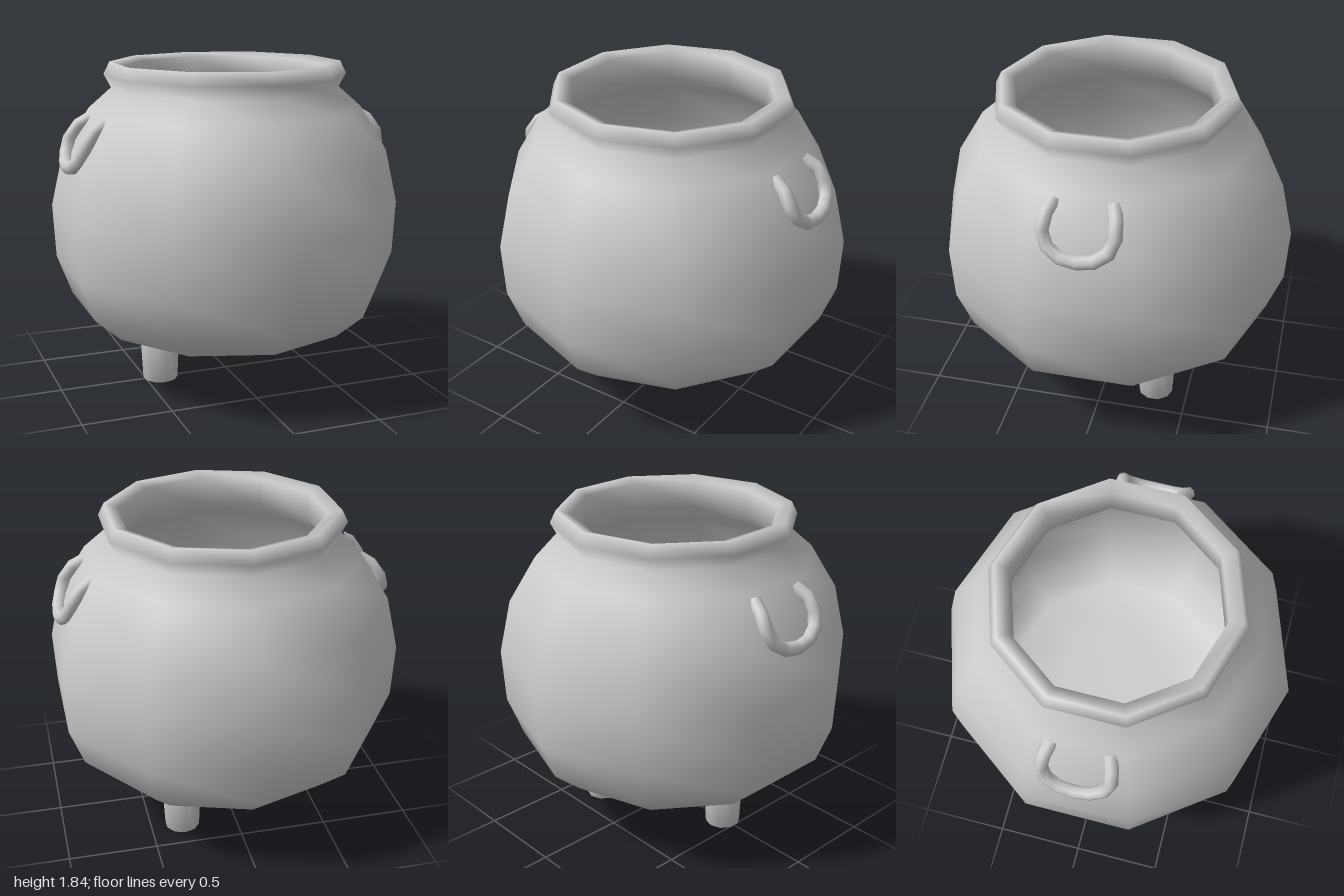
import * as THREE from 'three';

const material = new THREE.MeshStandardMaterial({ color: 0xcccccc });
const SIDES = 10;

const lathe = (points, sides) =>
  new THREE.LatheGeometry(points.map(([r, y]) => new THREE.Vector2(r, y)), sides);

function addMesh(parent, name, geometry) {
  const mesh = new THREE.Mesh(geometry, material);
  mesh.name = name;
  parent.add(mesh);
  return mesh;
}

// U-shaped carrying loop whose ends bend into the +x wall
function handleGeometry() {
  const half = [
    [0.74, 1.535, 0.155], [0.84, 1.465, 0.185], [0.875, 1.38, 0.18], [0.905, 1.312, 0.115],
  ];
  const path = [
    ...half,
    [0.918, 1.288, 0],
    ...half.slice().reverse().map(([x, y, z]) => [x, y, -z]),
  ].map((p) => new THREE.Vector3(...p));
  return new THREE.TubeGeometry(new THREE.CatmullRomCurve3(path), 10, 0.038, 8);
}

export function createModel() {
  const group = new THREE.Group();
  group.name = 'cauldron';

  // Pot: up the outside, over the rolled rim and down the inside
  addMesh(group, 'pot', lathe([
    [0, 0.275], [0.37, 0.275], [0.74, 0.343], [0.9, 0.485], [0.985, 0.71],
    [1, 1.015], [0.93, 1.32], [0.775, 1.575], [0.645, 1.69],
    [0.685, 1.765], [0.65, 1.835], [0.575, 1.81],
    [0.57, 1.66], [0.71, 1.54], [0.86, 1.29], [0.93, 1.01],
    [0.91, 0.73], [0.83, 0.53], [0.69, 0.41], [0.36, 0.38], [0, 0.38],
  ], SIDES));

  // Two tapered feet
  const legGeometry = lathe([[0, 0], [0.1, 0], [0.117, 0.34], [0, 0.34]], SIDES);
  [['rightLeg', -0.41, 0], ['backLeftLeg', 0.315, -0.31]].forEach(([name, x, z]) => {
    addMesh(group, name, legGeometry).position.set(x, 0, z);
  });

  // A handle on each side
  const handle = handleGeometry();
  addMesh(group, 'leftHandle', handle);
  addMesh(group, 'rightHandle', handle).rotation.y = Math.PI;

  return group;
}
